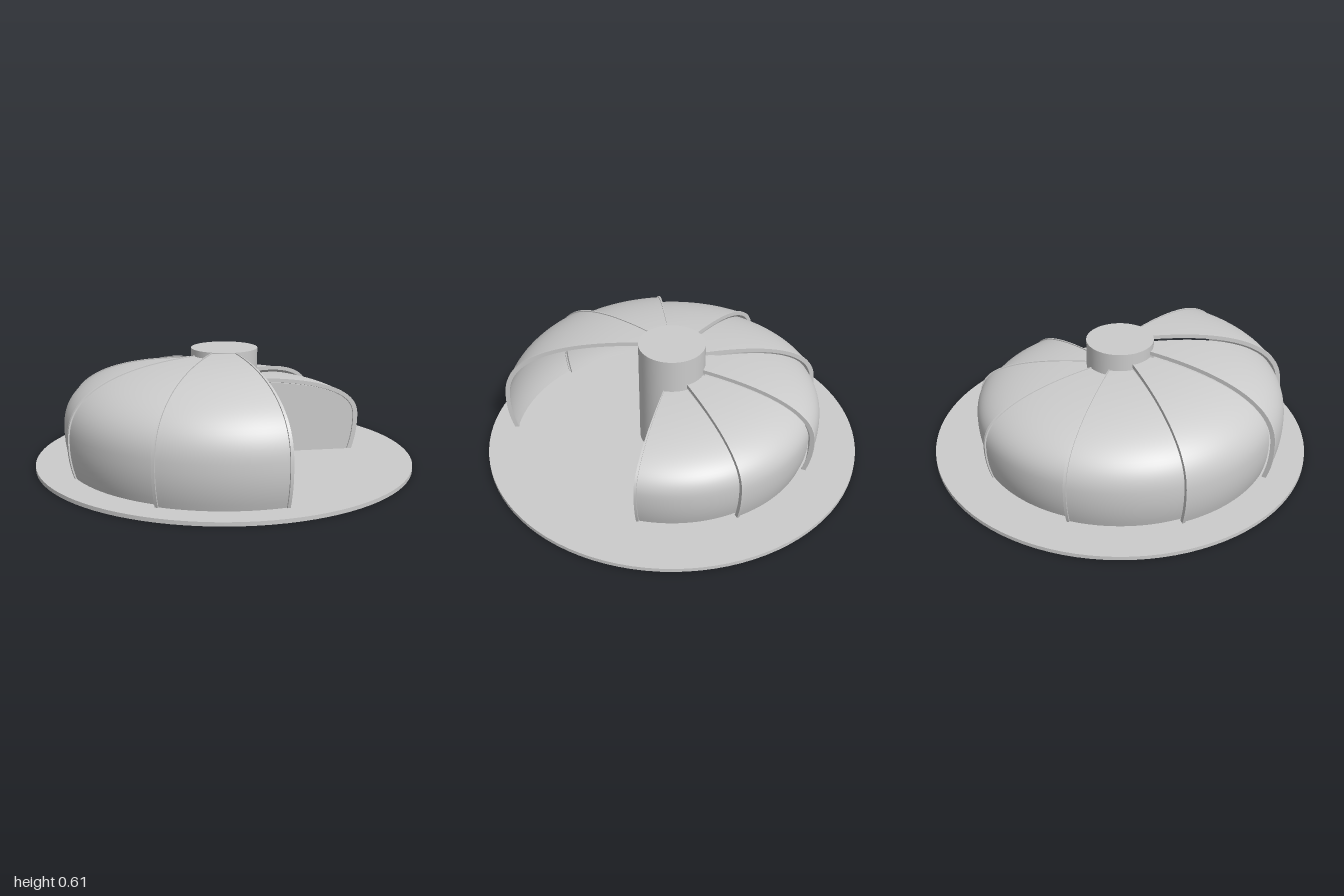
import * as THREE from 'three';
import { toCreasedNormals } from 'three/addons/utils/BufferGeometryUtils.js';

const FLOOR = 0.02, BELLY = 0.2, INNER = 0.16, POWER = 2.6;
const COUNT = 7, STEP = 40, START = 79.3;

// Half profile of a dome panel from floor to hub: bulging foot, then a superellipse
function profile(R, H, n = 26) {
  const pts = [];
  for (let i = 0; i < 6; i++) {
    const y = FLOOR + (BELLY - FLOOR) * i / 6;
    pts.push(new THREE.Vector2(R - 0.03 * ((BELLY - y) / 0.18) ** 2, y));
  }
  const end = Math.acos((INNER / R) ** (POWER / 2));
  for (let i = 0; i <= n; i++) {
    const t = end * i / n;
    pts.push(new THREE.Vector2(
      R * Math.cos(t) ** (2 / POWER),
      BELLY + (H - BELLY) * Math.sin(t) ** (2 / POWER)));
  }
  return pts;
}

// Sweep a (radius, height) band around the y axis between two angles in degrees
function sweptBand(outer, inner, fromDeg, toDeg, steps) {
  const a0 = THREE.MathUtils.degToRad(fromDeg), a1 = THREE.MathUtils.degToRad(toDeg);
  const shape = new THREE.Shape([...outer, ...inner.reverse()]);
  const geo = new THREE.ExtrudeGeometry(shape, { depth: a1 - a0, steps, bevelEnabled: false });
  const p = geo.attributes.position;
  for (let i = 0; i < p.count; i++) {
    const r = p.getX(i), a = a0 + p.getZ(i);
    p.setXYZ(i, r * Math.cos(a), p.getY(i), r * Math.sin(a));
  }
  return toCreasedNormals(geo, 0.6);
}

export function createModel() {
  const group = new THREE.Group();
  const material = new THREE.MeshStandardMaterial({ color: 0xcccccc });
  const add = (name, geometry, y = 0) => {
    const mesh = new THREE.Mesh(geometry, material);
    mesh.name = name;
    mesh.position.y = y;
    group.add(mesh);
    return mesh;
  };

  // Base plate and central column
  add('basePlate', new THREE.CylinderGeometry(1, 1, FLOOR, 96), FLOOR / 2);
  add('centralColumn', new THREE.CylinderGeometry(0.175, 0.175, 0.608 - 0.01, 64), 0.309);

  // Telescoping dome panels, each smaller than the one before
  for (let k = 0; k < COUNT; k++) {
    const R = 0.9 - 0.0275 * k, H = 0.605 - 0.029 * k;
    const a0 = START + STEP * k, a1 = a0 + STEP;
    add(`domePanel${k + 1}`,
      sweptBand(profile(R, H), profile(R - 0.012, H - 0.012), a0 - 0.5, a1, 20));

    // Raised rim on the trailing edge, and on the leading edge of the first panel
    const rim = (name, a) => add(name,
      sweptBand(profile(R + 0.008, H + 0.005), profile(R - 0.016, H - 0.016), a - 0.5, a + 0.5, 1));
    rim(`panelRim${k + 1}`, a1);
    if (k === 0) rim('openingRim', a0);
  }

  // Upright wall closing the smallest panel
  const wallShape = new THREE.Shape([
    new THREE.Vector2(INNER, FLOOR), ...profile(0.715, 0.412)]);
  const wall = add('endWall',
    new THREE.ExtrudeGeometry(wallShape, { depth: 0.01, bevelEnabled: false }));
  wall.position.z = -0.012;

  return group;
}
